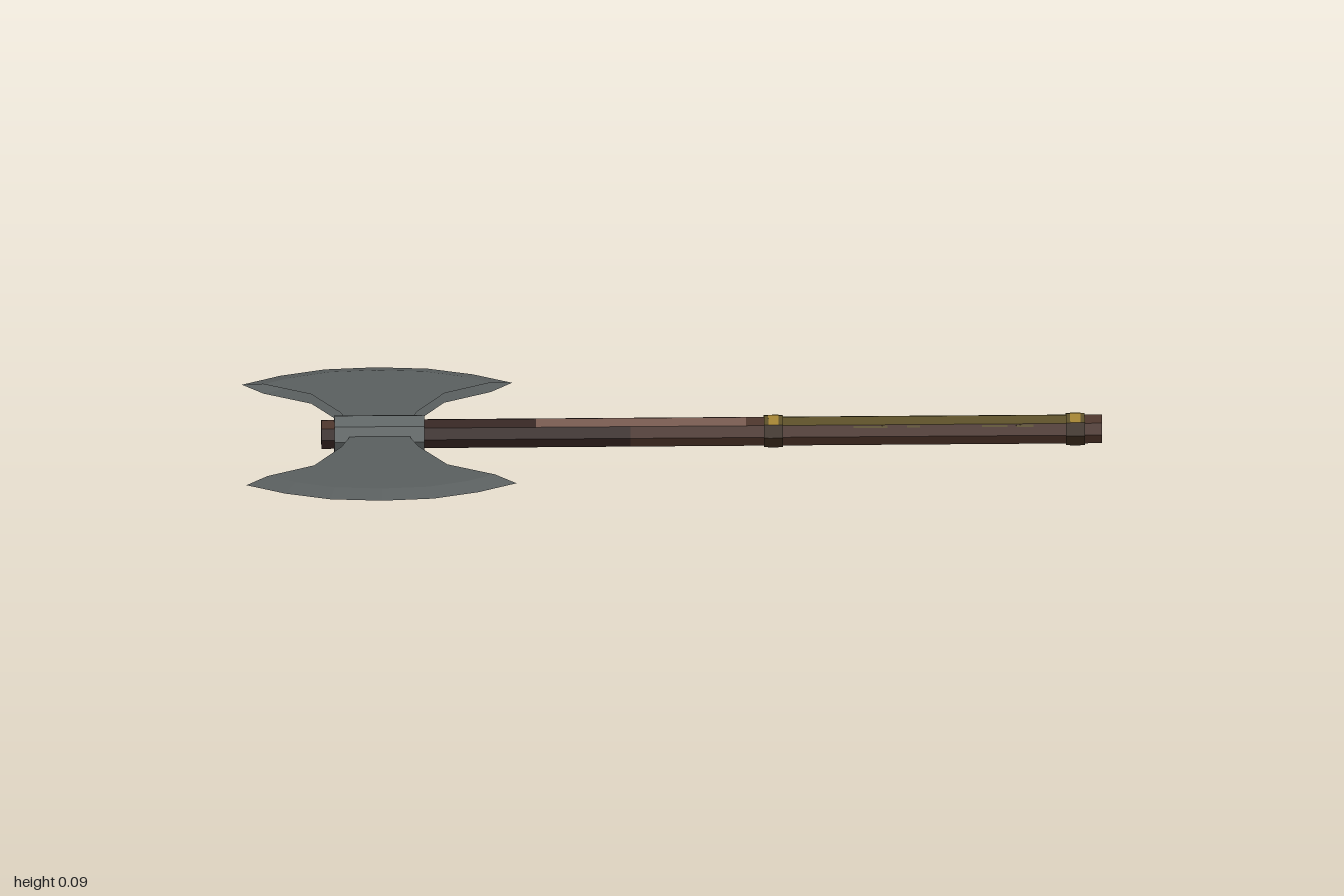
import * as THREE from 'three';

const paint = (name, color) => {
  const m = new THREE.MeshStandardMaterial({ color });
  m.name = name;
  return m;
};

const AXIS_Y = 0.048; // height of the shaft's centre line

export function createModel() {
  const axe = new THREE.Group();
  axe.name = 'doubleAxe';

  const steel = paint('blade steel', 0x5a5f5f);
  steel.side = THREE.DoubleSide; // the blades are open along their inner edges
  const socketSteel = paint('socket steel', 0x5f6565);
  const darkWood = paint('dark wood', 0x33231f);
  const wood = paint('wood', 0x4a3228);
  const paleWood = paint('pale wood', 0x75584d);
  const olive = paint('olive grip', 0x5a4d25);
  const gold = paint('gold', 0xa08030);
  const collarBrown = paint('collar brown', 0x38291b);

  // Eight-sided rod along x. Facets run from the front, under, behind, over:
  // 0 and 3 lower sides, 1-2 underside, 4 and 7 upper sides, 5-6 top.
  function rod(name, x0, x1, radius, facets, caps) {
    const g = new THREE.CylinderGeometry(radius, radius, x1 - x0, 8, 1, !caps).toNonIndexed();
    g.rotateZ(-Math.PI / 2);
    g.computeVertexNormals();
    g.clearGroups();
    for (let i = 0; i < 8; i++) {
      g.addGroup(i * 6, 6, i);
      if (caps) {
        g.addGroup(48 + i * 3, 3, 8 + i);
        g.addGroup(72 + i * 3, 3, 8 + i);
      }
    }
    const mesh = new THREE.Mesh(g, caps ? [...facets, ...caps] : facets);
    mesh.name = name;
    mesh.position.set((x0 + x1) / 2, AXIS_Y, 0);
    axe.add(mesh);
  }
  const ring = (sides, backTop = sides, frontTop = backTop, under = sides) =>
    [sides, under, under, sides, sides, backTop, frontTop, sides];

  // Shaft, painted in lengths, with a worn patch on each end
  const R = 0.036;
  const wornEnd = [wood, wood, wood, paleWood, paleWood, paleWood, wood, wood];
  rod('shaftTip', -0.82, -0.78, R, ring(darkWood, wood), wornEnd);
  rod('shaftUpper', -0.78, -0.32, R, ring(darkWood));
  rod('shaftWornFront', -0.32, -0.1, R, ring(darkWood, darkWood, paleWood));
  rod('shaftWorn', -0.1, 0.17, R, ring(wood, paleWood, paleWood, darkWood));
  rod('shaftLower', 0.17, 0.23, R, ring(wood, wood, wood, darkWood));
  rod('grip', 0.23, 0.94, R, ring(wood, olive, olive, olive));
  rod('shaftButt', 0.94, 1, R, ring(wood), wornEnd);

  // Worn streaks along both sides of the grip
  for (const side of [1, -1]) {
    for (const [x, length] of [[0.46, 0.08], [0.56, 0.03], [0.75, 0.06], [0.82, 0.04]]) {
      const streak = new THREE.Mesh(new THREE.BoxGeometry(length, 0.005, 0.002), olive);
      streak.name = 'gripStreak';
      streak.geometry.translate(x, 0.009, R * Math.cos(Math.PI / 8));
      streak.rotation.x = side > 0 ? -Math.PI / 8 : Math.PI + Math.PI / 8;
      if (side < 0) streak.geometry.translate(0, -0.018, 0);
      streak.position.y = AXIS_Y;
      axe.add(streak);
    }
  }

  // Collars at both ends of the grip, with a gilded middle band
  const goldTopCaps = ring(collarBrown, gold);
  for (const x of [0.212, 0.916]) {
    rod('collar', x, x + 0.044, 0.04, ring(collarBrown, olive), goldTopCaps);
    rod('collarBand', x + 0.01, x + 0.034, 0.041, ring(collarBrown, gold, gold, gold), goldTopCaps);
  }

  // Steel socket holding the blades
  rod('socket', -0.79, -0.58, 0.047, ring(socketSteel), ring(socketSteel));

  // Blade outlines as [x, distance from shaft], right half from tip to middle
  const edge = [[0.315, 0.29], [0.225, 0.34], [0.12, 0.375], [0, 0.385]];
  const ridge = [[0.265, 0.265], [0.2, 0.302], [0.11, 0.333], [0, 0.342]];
  const neck = [[0.068, 0], [0.072, 0.05], [0.09, 0.1], [0.155, 0.205]];
  const flip = (pts) => pts.map(([x, d]) => [-x, d]);
  const across = (pts) => [...flip(pts), ...pts.slice(0, -1).reverse()];
  const edgeLine = across(edge);
  const ridgeLine = across(ridge);
  const T = 0.012; // half thickness

  // Flat face of one blade side
  const outline = [...neck, ...ridgeLine.slice().reverse(), ...flip(neck).reverse()];
  const plate = new THREE.ShapeGeometry(new THREE.Shape(outline.map(([x, d]) => new THREE.Vector2(x, d))));
  plate.rotateX(-Math.PI / 2).translate(0, T, 0);

  // Sloped cutting bevel from the ridge to the edge
  const corners = [];
  for (let i = 0; i < edgeLine.length - 1; i++) {
    const [r0, r1] = [ridgeLine[i], ridgeLine[i + 1]].map(([x, d]) => [x, T, -d]);
    const [e0, e1] = [edgeLine[i], edgeLine[i + 1]].map(([x, d]) => [x, 0, -d]);
    corners.push(...r0, ...r1, ...e1, ...r0, ...e1, ...e0);
  }
  const bevel = new THREE.BufferGeometry();
  bevel.setAttribute('position', new THREE.Float32BufferAttribute(corners, 3));
  bevel.computeVertexNormals();

  // Upper and lower faces of the two blades
  for (const rx of [0, Math.PI]) {
    for (const ry of [0, Math.PI]) {
      const side = new THREE.Group();
      side.name = 'bladeSide';
      const face = new THREE.Mesh(plate, steel);
      face.name = 'bladeFace';
      const cut = new THREE.Mesh(bevel, steel);
      cut.name = 'bladeBevel';
      side.add(face, cut);
      side.rotation.set(rx, ry, 0);
      side.position.set(-0.685, AXIS_Y, 0);
      axe.add(side);
    }
  }

  return axe;
}
